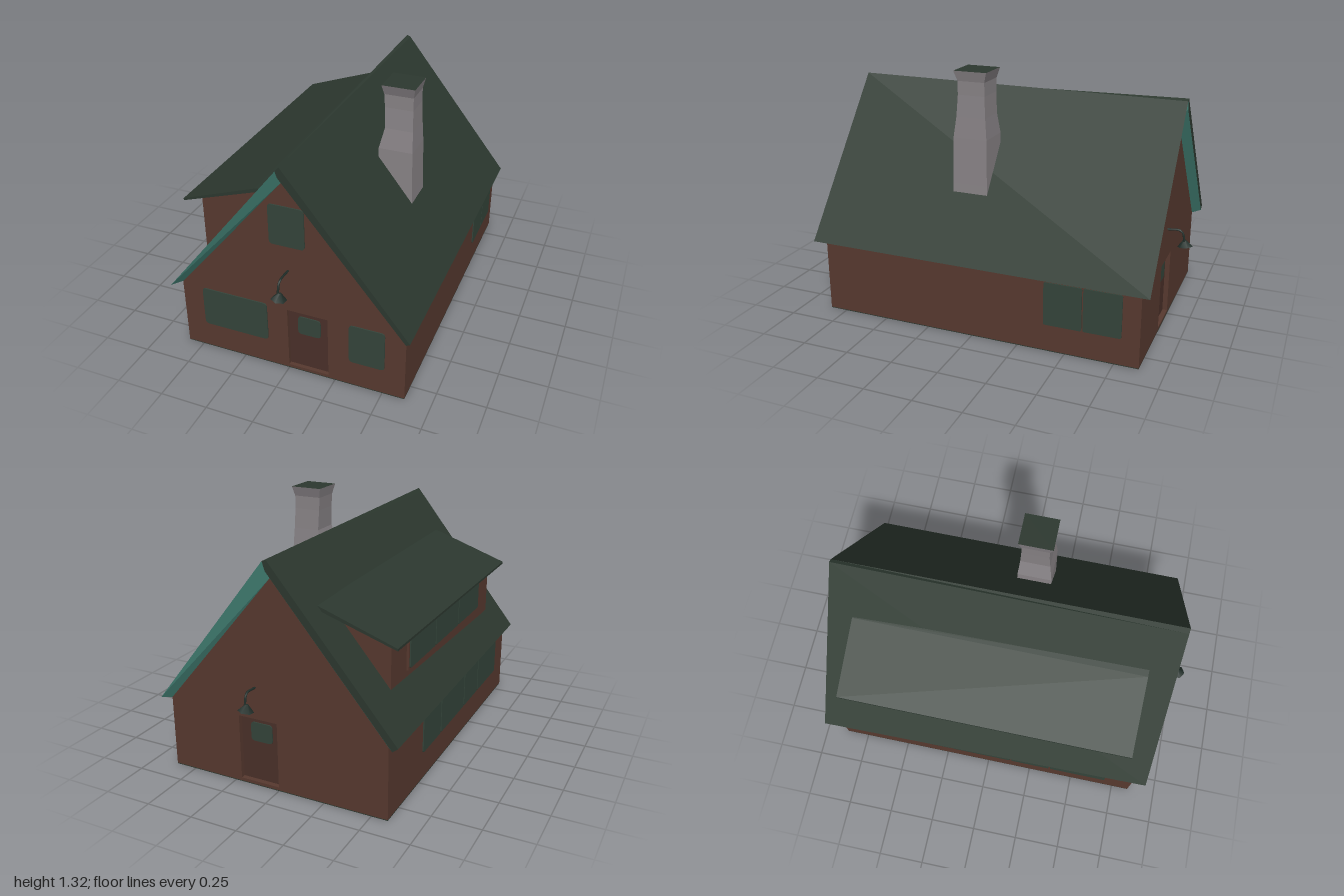
import * as THREE from 'three';

const mat = (name, color, side = THREE.FrontSide) => {
  const m = new THREE.MeshStandardMaterial({ color, side });
  m.name = name;
  return m;
};

export function createModel() {
  const house = new THREE.Group();
  house.name = 'house';
  const brown = mat('wall brown', 0x57392f);
  const doorBrown = mat('door brown', 0x4a3029);
  const green = mat('roof green', 0x2c382f, THREE.DoubleSide);
  const glass = mat('window green', 0x34443a);
  const teal = mat('soffit teal', 0x4b8f82, THREE.DoubleSide);
  const stone = mat('chimney grey', 0x888386);
  const iron = mat('lamp dark green', 0x222f2a, THREE.DoubleSide);

  const add = (name, geo, m, parent = house) => {
    const mesh = new THREE.Mesh(geo, m);
    mesh.name = name;
    parent.add(mesh);
    return mesh;
  };
  // Profile in x, y pushed along z from z0 to z1
  const prism = (name, pts, z0, z1, m, hole) => {
    const s = new THREE.Shape(pts.map(p => new THREE.Vector2(...p)));
    if (hole) s.holes.push(new THREE.Path(hole.map(p => new THREE.Vector2(...p))));
    const g = new THREE.ExtrudeGeometry(s, { depth: z1 - z0, bevelEnabled: false });
    return add(name, g.translate(0, 0, z0), m);
  };
  const box = (name, x0, x1, y0, y1, z0, z1, m) => add(name,
    new THREE.BoxGeometry(x1 - x0, y1 - y0, z1 - z0)
      .translate((x0 + x1) / 2, (y0 + y1) / 2, (z0 + z1) / 2), m);
  // Four-cornered faces with flat normals
  const quads = (name, list, m) => {
    const pos = list.flatMap(([a, b, c, d]) => [a, b, c, a, c, d].flat());
    const g = new THREE.BufferGeometry();
    g.setAttribute('position', new THREE.Float32BufferAttribute(pos, 3));
    g.computeVertexNormals();
    return add(name, g, m);
  };
  // Thin rounded window pane; u runs across, turned to face the given direction
  const pane = (name, u0, u1, y0, y1, facing, at, r = 0.02) => {
    const s = new THREE.Shape();
    s.moveTo(u0 + r, y0);
    s.lineTo(u1 - r, y0).quadraticCurveTo(u1, y0, u1, y0 + r);
    s.lineTo(u1, y1 - r).quadraticCurveTo(u1, y1, u1 - r, y1);
    s.lineTo(u0 + r, y1).quadraticCurveTo(u0, y1, u0, y1 - r);
    s.lineTo(u0, y0 + r).quadraticCurveTo(u0, y0, u0 + r, y0);
    const g = new THREE.ExtrudeGeometry(s, { depth: 0.006, bevelEnabled: false, curveSegments: 4 });
    g.rotateY({ front: 0, back: Math.PI, right: Math.PI / 2, left: -Math.PI / 2 }[facing]);
    return add(name, g.translate(...at), glass);
  };

  // Walls with a door opening at each end, and the floor
  const zf = 0.845, zb = -0.875;
  prism('walls', [[-0.585, 0.004], [0.615, 0.004], [0.615, 0.38], [0.01, 1.09], [-0.585, 0.38]],
    zb, zf, brown, [[0, 0.02], [0, 0.365], [0.215, 0.365], [0.215, 0.02]]);
  box('floor', -0.585, 0.615, 0, 0.004, zb, zf, green);

  // Doors
  box('frontDoor', 0, 0.215, 0.02, 0.365, 0.78, zf - 0.02, doorBrown);
  box('backDoor', 0, 0.215, 0.02, 0.365, zb + 0.025, -0.81, doorBrown);
  pane('frontDoorWindow', 0.05, 0.17, 0.225, 0.33, 'front', [0, 0, zf - 0.02]);
  pane('backDoorWindow', -0.16, -0.04, 0.235, 0.335, 'back', [0, 0, zb + 0.025]);

  // Front windows
  pane('wideFrontWindow', -0.47, -0.11, 0.15, 0.372, 'front', [0, 0, zf]);
  pane('smallFrontWindow', 0.327, 0.51, 0.15, 0.372, 'front', [0, 0, zf]);
  pane('atticWindow', -0.075, 0.108, 0.742, 0.958, 'front', [0, 0, zf]);

  // Side windows: u is -z on the chimney side and +z on the dormer side
  for (const [a, b] of [[0.39, 0.585], [0.592, 0.785]])
    pane('chimneySideWindow', a, b, 0.145, 0.372, 'right', [0.615, 0, 0], 0.01);
  for (const [a, b] of [[-0.46, -0.225], [-0.215, 0.13], [0.14, 0.36], [0.37, 0.69]])
    pane('dormerSideWindow', a, b, 0.15, 0.372, 'left', [-0.585, 0, 0], 0.01);

  // Main roof skin, slightly skewed from front to back
  const F = 0.902, B = -0.92;
  const fL = [-0.62, 0.385, F], fA = [0, 1.165, F], fB = [0.02, 1.19, F], fR = [0.65, 0.395, F];
  const bL = [-0.65, 0.41, B], bA = [0, 1.19, B], bB = [0.02, 1.18, B], bR = [0.65, 0.39, B];
  // Inner edge against the gable walls
  const wall = z => [[-0.585, 0.38, z], [0.01, 1.09, z], [0.615, 0.38, z]];
  const [fl, fp, fr] = wall(zf), [bl, bp, br] = wall(zb);
  // Lower edges of the squared-off bargeboards
  const fM = [0.01, 1.135, F], fN = [0.63, 0.385, F];
  const bM = [0.005, 1.135, B], bN = [-0.622, 0.388, B];
  quads('mainRoof', [
    [fL, fA, bA, bL], [fA, fB, bB, bA], [fB, fR, bR, bB],
    [fA, fM, fM, fB], [fM, fN, fR, fB],
    [bB, bM, bM, bA], [bM, bN, bL, bA],
    [fL, bL, bl, fl], [fR, fr, br, bR],
  ], green);
  quads('gableSoffits', [
    [fL, fl, fp, fA], [fA, fp, fp, fM], [fM, fp, fr, fN], [fN, fr, fr, fR],
    [bR, br, bp, bB], [bB, bp, bp, bM], [bM, bp, bl, bN], [bN, bl, bl, bL],
  ], teal);

  // Shed dormer with a band of windows
  prism('dormerWalls', [[-0.51, 0.48], [-0.2, 0.8], [-0.2, 0.943], [-0.51, 0.838]], -0.69, 0.71, brown);
  prism('dormerRoof', [[-0.585, 0.812], [-0.15, 0.955], [-0.15, 0.972], [-0.19, 0.962], [-0.585, 0.824]],
    -0.79, 0.76, green);
  box('dormerWindowFrame', -0.522, -0.51, 0.6, 0.81, -0.51, 0.51, brown);
  for (let i = 0; i < 3; i++)
    pane('dormerWindow', -0.5 + i * 0.336, -0.172 + i * 0.336, 0.61, 0.805, 'left', [-0.522, 0, 0], 0.01);

  // Chimney lofted through rectangles: y, x0, x1, z0, z1
  const rings = [
    [0.6, 0.22, 0.415, -0.005, 0.187], [0.74, 0.22, 0.41, -0.003, 0.185], [0.98, 0.222, 0.402, 0, 0.182],
    [1.09, 0.248, 0.396, 0.008, 0.166], [1.2, 0.243, 0.391, 0.013, 0.158],
    [1.27, 0.238, 0.391, 0.013, 0.158], [1.322, 0.228, 0.402, -0.002, 0.176],
  ].map(([y, x0, x1, z0, z1]) => [[x0, y, z1], [x1, y, z1], [x1, y, z0], [x0, y, z0]]);
  const sides = [];
  for (let i = 0; i < rings.length - 1; i++)
    for (let k = 0; k < 4; k++) {
      const n = (k + 1) % 4;
      sides.push([rings[i][k], rings[i][n], rings[i + 1][n], rings[i + 1][k]]);
    }
  quads('chimney', sides, stone);
  quads('chimneyTop', [rings[rings.length - 1]], green);

  // Gooseneck lamps above the doors
  const lamp = (name, x, y, z, dir, reach) => {
    const g = new THREE.Group();
    g.name = name;
    const path = new THREE.CatmullRomCurve3([[0, 0, 0], [0, 0.002, reach * 0.75], [0, -0.012, reach * 0.9], [0, -0.055, reach]]
      .map(p => new THREE.Vector3(...p)));
    add('lampArm', new THREE.TubeGeometry(path, 8, 0.006, 5), iron, g);
    const shade = add('lampShade', new THREE.CylinderGeometry(0.008, 0.04, 0.035, 6, 1), iron, g);
    shade.position.set(0.008, -0.066, reach + 0.002);
    shade.rotation.set(-0.15, 0, -0.12);
    g.position.set(x, y, z);
    if (dir < 0) g.rotation.y = Math.PI;
    house.add(g);
  };
  lamp('frontLamp', 0.015, 0.602, zf, 1, 0.113);
  lamp('backLamp', 0.115, 0.532, zb, -1, 0.088);

  return house;
}
